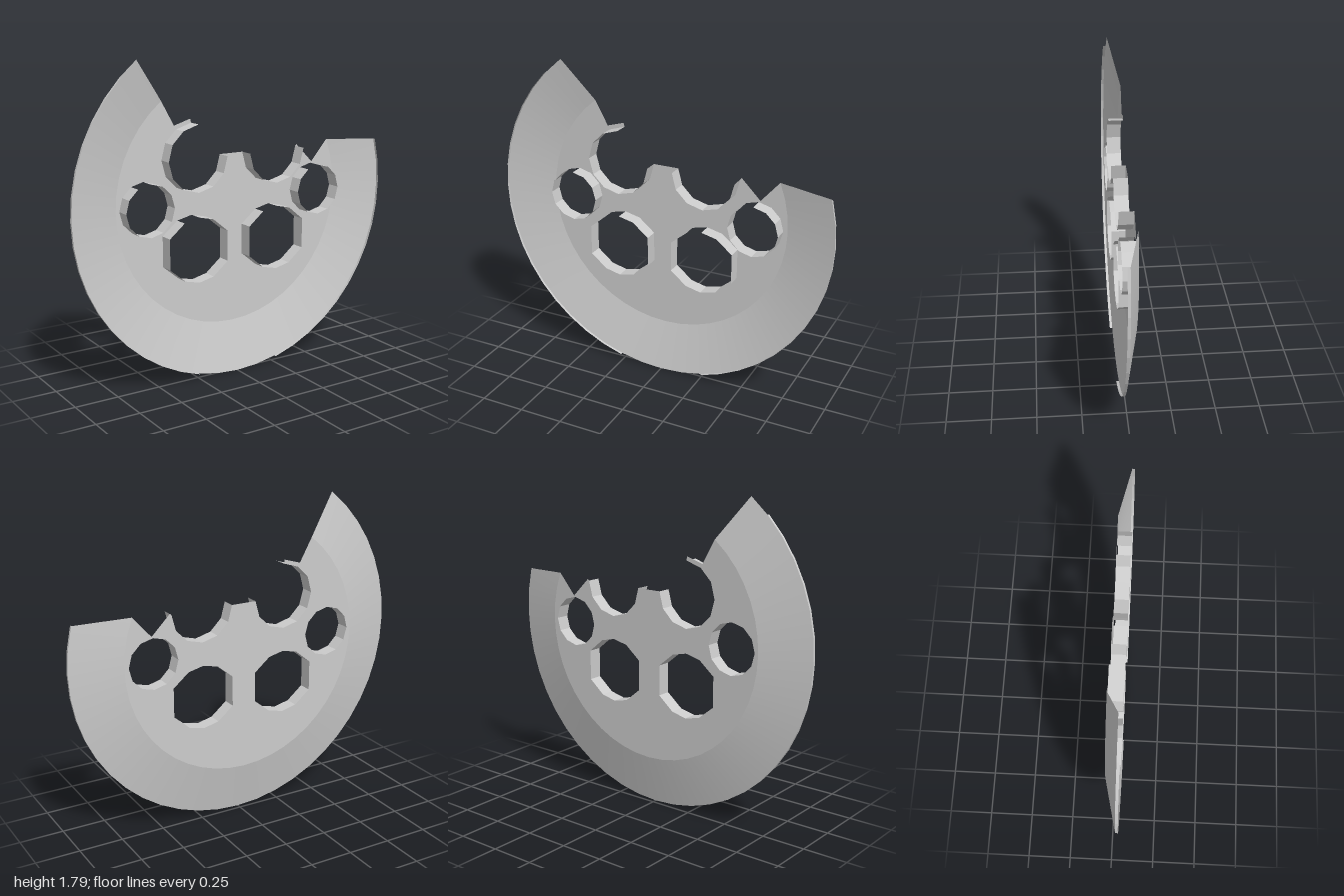
import * as THREE from 'three';

const CY = 1, R_OUT = 1, R_IN = 0.715;
const Z_BACK = -0.04, Z_RIM = 0.025, Z_FRONT = 0.04;
const STEP = 7.5; // degrees per rim facet

const material = new THREE.MeshStandardMaterial({ color: 0xcccccc, side: THREE.DoubleSide });

// Point on a circle, angle in degrees
function polar(r, deg, cx = 0, cy = CY) {
  const a = THREE.MathUtils.degToRad(deg);
  return new THREE.Vector2(cx + r * Math.cos(a), cy + r * Math.sin(a));
}

function arc(r, from, to, step, cx, cy) {
  const points = [];
  const n = Math.round(Math.abs(to - from) / step);
  for (let i = 0; i <= n; i++) points.push(polar(r, from + ((to - from) * i) / n, cx, cy));
  return points;
}

// Band of quads between two point rows, each at its own depth
function band(rowA, zA, rowB, zB, flat) {
  const positions = [], index = [];
  rowA.forEach((a, i) => positions.push(a.x, a.y, zA, rowB[i].x, rowB[i].y, zB));
  for (let i = 0; i < rowA.length - 1; i++) {
    const k = 2 * i;
    index.push(k, k + 2, k + 1, k + 1, k + 2, k + 3);
  }
  let geometry = new THREE.BufferGeometry();
  geometry.setAttribute('position', new THREE.Float32BufferAttribute(positions, 3));
  geometry.setIndex(index);
  if (flat) geometry = geometry.toNonIndexed();
  geometry.computeVertexNormals();
  return geometry;
}

export function createModel() {
  const group = new THREE.Group();
  const add = (name, geometry) => {
    const mesh = new THREE.Mesh(geometry, material);
    mesh.name = name;
    group.add(mesh);
  };
  const v = (x, y) => new THREE.Vector2(x, y);

  // Conical rim; its right end finishes in a single triangle
  const innerArc = arc(R_IN, 127.5, 382.5, STEP);
  const outerArc = arc(R_OUT, 127.5, 375, STEP);
  outerArc.push(outerArc[outerArc.length - 1].clone());
  add('slopedRim', band(innerArc, Z_BACK, outerArc, Z_RIM, false));

  // Thin lip on the outer edge, interrupted at the bottom
  for (const [name, from, to] of [['lipRight', 135, 255], ['lipLeft', 285, 375]]) {
    const edge = arc(R_OUT, from, to, STEP);
    add(name, band(edge, Z_RIM, edge, Z_FRONT, true));
  }

  // Broken upper holes, left as open notches
  const notchRight = arc(0.182, 120, 360, 30, -0.257, 1.253);
  const notchLeft = arc(0.182, 180, 360, 30, 0.255, 1.253);

  // Whole holes, starting at the top and running clockwise
  const round = (cx, cy, r) => arc(r, 90, -240, 30, cx, cy);
  const large = (cx, cy) => [
    [0, 0.183], [0.09, 0.162], [0.182, 0.086], [0.182, -0.086], [0.09, -0.162],
    [0, -0.183], [-0.09, -0.162], [-0.182, -0.086], [-0.182, 0.086], [-0.09, 0.162],
  ].map(([x, y]) => v(cx + x, cy + y));
  const holes = [
    large(-0.257, 0.752), large(0.252, 0.755),
    round(-0.55, 1.005, 0.144), round(0.546, 1.0, 0.144),
  ];

  // Recessed plate with its broken top edge
  const shape = new THREE.Shape([
    ...innerArc,
    v(0.555, 1.152), v(0.445, 1.262),
    ...notchLeft.slice().reverse(),
    ...notchRight.slice().reverse(),
    v(-0.255, 1.44), v(-0.26, 1.462), v(-0.36, 1.432),
  ]);
  holes.forEach((points) => shape.holes.push(new THREE.Path(points)));
  const plate = new THREE.ShapeGeometry(shape);
  plate.translate(0, 0, Z_BACK);
  add('plate', plate);

  // Walls standing forward from the holes and notches; one facet is open on each hole
  holes.forEach((points, i) => add(`holeWall${i + 1}`, band(points, Z_BACK, points, Z_FRONT, true)));
  add('notchWallRight', band(notchRight, Z_BACK, notchRight, Z_FRONT, true));
  add('notchWallLeft', band(notchLeft, Z_BACK, notchLeft, Z_FRONT, true));

  // Short splinter wall beside the right notch
  const splinter = [notchRight[0], v(-0.255, 1.44)];
  add('splinterWall', band(splinter, Z_BACK, splinter, Z_FRONT, true));

  return group;
}
